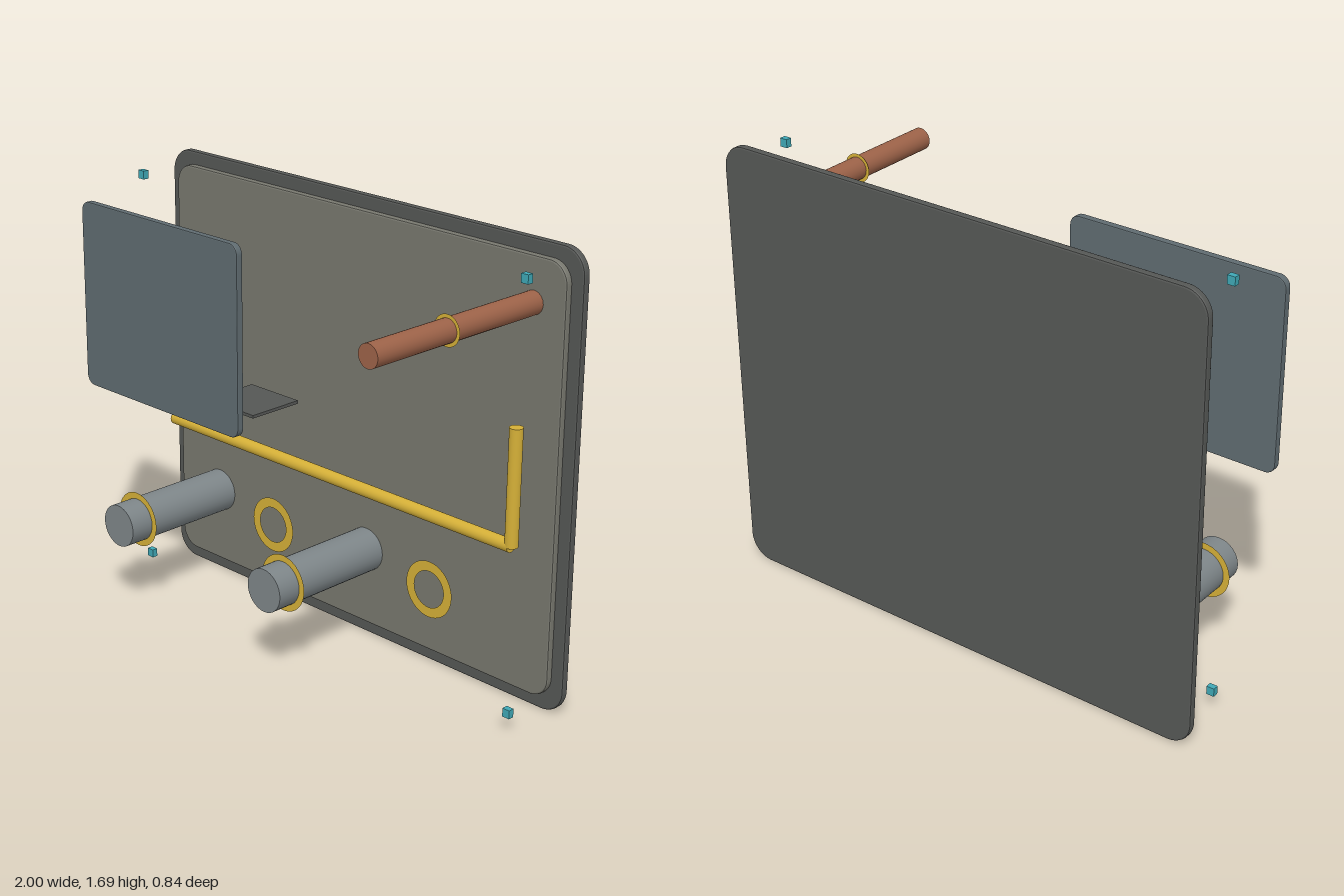
import * as THREE from 'three';

const mat = (color, side = THREE.FrontSide) => new THREE.MeshStandardMaterial({ color, side });
const steel = mat(0x555755), panelGrey = mat(0x77776e), glass = mat(0x5f6b70), pipeGrey = mat(0x7d8588);
const brass = mat(0xd4af37), brassFlat = mat(0xd4af37, THREE.DoubleSide), copper = mat(0x9c6248), teal = mat(0x3fa7b5);

// Rounded, slightly bevelled slab given by its outer bounds
function slab(name, x0, x1, y0, y1, z0, z1, r, bevel, material) {
  const a = x0 + bevel, b = x1 - bevel, c = y0 + bevel, d = y1 - bevel;
  const s = new THREE.Shape();
  s.moveTo(a + r, c);
  s.lineTo(b - r, c).absarc(b - r, c + r, r, -Math.PI / 2, 0);
  s.lineTo(b, d - r).absarc(b - r, d - r, r, 0, Math.PI / 2);
  s.lineTo(a + r, d).absarc(a + r, d - r, r, Math.PI / 2, Math.PI);
  s.lineTo(a, c + r).absarc(a + r, c + r, r, Math.PI, Math.PI * 1.5);
  const geo = new THREE.ExtrudeGeometry(s, {
    depth: z1 - z0 - 2 * bevel, bevelThickness: bevel, bevelSize: bevel, bevelSegments: 2, curveSegments: 8,
  });
  geo.translate(0, 0, z0 + bevel);
  const mesh = new THREE.Mesh(geo, material);
  mesh.name = name;
  return mesh;
}

// Rod of the given radius and length, centred at (x, y, z) along an axis
function rod(name, r, length, axis, x, y, z, material) {
  const geo = new THREE.CylinderGeometry(r, r, length, 32);
  if (axis === 'z') geo.rotateX(Math.PI / 2);
  if (axis === 'x') geo.rotateZ(Math.PI / 2);
  const mesh = new THREE.Mesh(geo, material);
  mesh.position.set(x, y, z);
  mesh.name = name;
  return mesh;
}

// Flat washer facing the front
function washer(name, inner, outer, x, y, z) {
  const mesh = new THREE.Mesh(new THREE.RingGeometry(inner, outer, 40), brassFlat);
  mesh.position.set(x, y, z);
  mesh.name = name;
  return mesh;
}

function box(name, w, h, d, x, y, z, material) {
  const mesh = new THREE.Mesh(new THREE.BoxGeometry(w, h, d), material);
  mesh.position.set(x, y, z);
  mesh.name = name;
  return mesh;
}

export function createModel() {
  const model = new THREE.Group();
  model.name = 'wallPanel';

  // Backing plate, raised panel and floating screen
  model.add(
    slab('backPlate', -1, 1, 0, 1.69, -0.42, -0.39, 0.085, 0.007, steel),
    slab('frontPanel', -0.95, 0.95, 0.055, 1.64, -0.395, -0.365, 0.07, 0.007, panelGrey),
    slab('screen', -0.995, -0.15, 0.842, 1.562, 0.043, 0.071, 0.035, 0.004, glass),
    box('shelf', 0.25, 0.012, 0.23, -0.373, 0.86, -0.21, steel),
  );

  // Row of washers, every other one around a projecting pipe
  for (let i = 0; i < 4; i++) {
    const x = -0.725 + i * 0.4, hasPipe = i % 2 === 0;
    model.add(washer('pipeWasher', 0.07, 0.108, x, 0.355, hasPipe ? 0.065 : -0.27));
    if (hasPipe) model.add(rod('pipe', 0.083, 0.54, 'z', x, 0.355, -0.11, pipeGrey));
  }

  // Copper peg with its washer
  model.add(
    rod('peg', 0.042, 0.8, 'z', 0.814, 1.48, 0.02, copper),
    washer('pegWasher', 0.04, 0.055, 0.814, 1.48, 0.06),
  );

  // Brass rail with an upright at its end
  model.add(
    rod('rail', 0.024, 1.71, 'x', 0.02, 0.665, -0.23, brass),
    rod('railUpright', 0.024, 0.43, 'y', 0.876, 0.878, -0.23, brass),
  );

  // Corner markers
  for (const x of [-0.933, 0.933]) {
    for (const y of [0.073, 1.628]) model.add(box('cornerMarker', 0.03, 0.032, 0.023, x, y, -0.18, teal));
  }
  return model;
}
